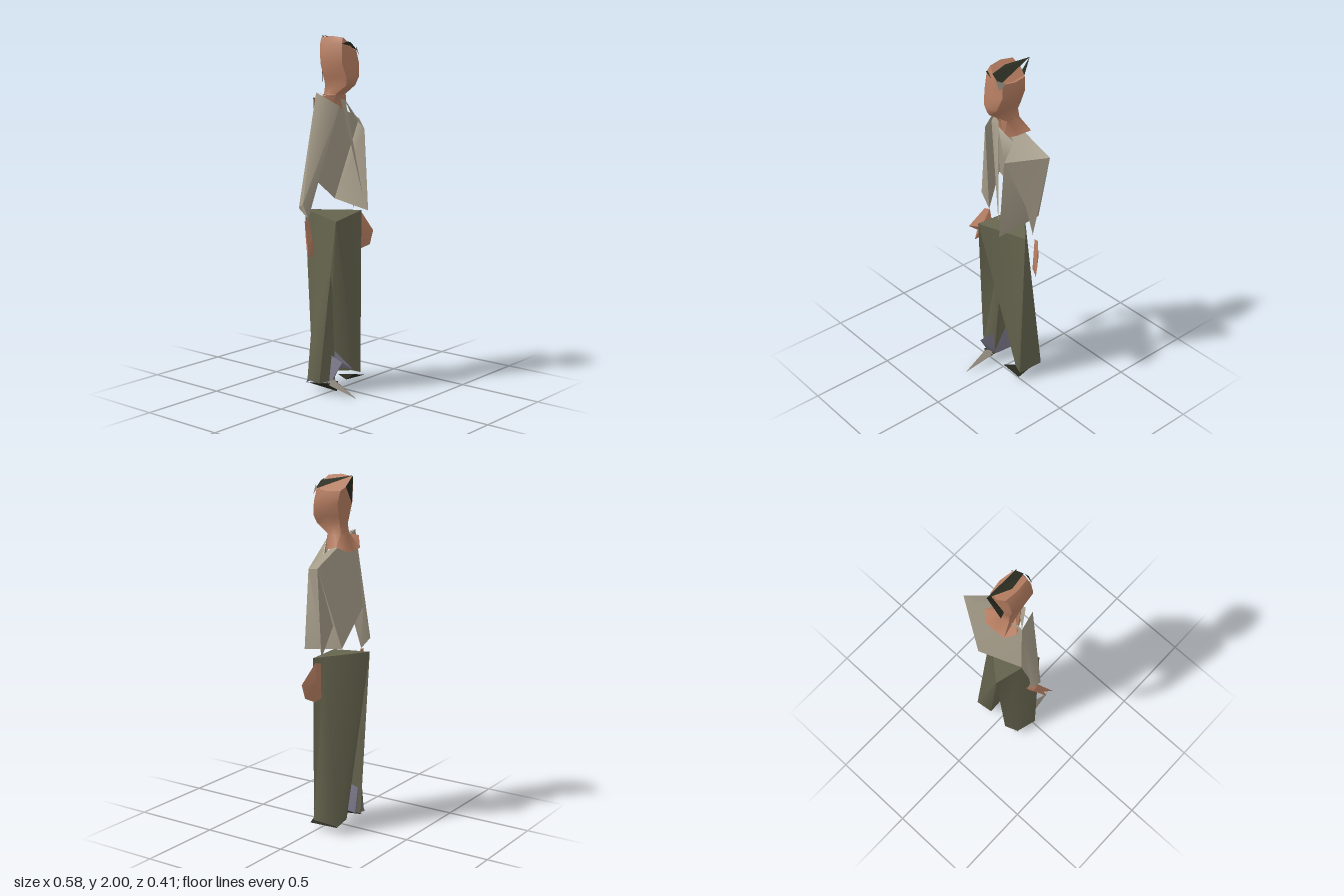
import * as THREE from 'three';
import { toCreasedNormals } from 'three/addons/utils/BufferGeometryUtils.js';

const mat = (name, color) => new THREE.MeshStandardMaterial({ name, color, side: THREE.DoubleSide });

function build(name, material, points, index, crease) {
  const geo = new THREE.BufferGeometry();
  geo.setAttribute('position', new THREE.Float32BufferAttribute(points.flat(), 3));
  geo.setIndex(index);
  const mesh = new THREE.Mesh(toCreasedNormals(geo, crease), material);
  mesh.name = name;
  return mesh;
}

// Mesh from named corners and triangles written as 'a b c'
function panels(name, material, corners, triangles, crease = 0.5) {
  const keys = Object.keys(corners);
  const index = triangles.flatMap(t => t.split(' ').map(k => keys.indexOf(k)));
  return build(name, material, Object.values(corners), index, crease);
}

// Skin over rings listed bottom to top, each anticlockwise from above
function loft(name, material, rings, crease) {
  const n = rings[0].length, index = [];
  for (let i = 0; i < rings.length - 1; i++) {
    for (let j = 0; j < n; j++) {
      const a = i * n + j, b = i * n + (j + 1) % n;
      index.push(a, b, b + n, a, b + n, a + n);
    }
  }
  return build(name, material, rings.flat(), index, crease);
}

// Faceted hand: an outline (anticlockwise from the front) swollen at its middle
function hand(name, material, outline, middle, thick) {
  const corners = { f: [middle[0], middle[1], middle[2] + thick], b: [middle[0], middle[1], middle[2] - thick] };
  const tris = [];
  outline.forEach((p, i) => {
    corners['p' + i] = p;
    const next = 'p' + (i + 1) % outline.length;
    tris.push(`f p${i} ${next}`, `b ${next} p${i}`);
  });
  return panels(name, material, corners, tris, 0.5);
}

export function createModel() {
  const group = new THREE.Group();
  group.name = 'standingMan';
  const skin = mat('skin', 0xb47c60);
  const cloth = mat('shirtCloth', 0xa59c89);
  const olive = mat('trouserCloth', 0x65644e);
  const dark = mat('hairBlack', 0x2a2c20);
  const sockMat = mat('sockGrey', 0x7b788a);
  const shoeMat = mat('shoeGrey', 0x857d72);

  // Head: squarish eight-sided sections [y, centre x, half width, front z, back z, sideways tilt]
  const sections = [
    [1.68, -0.005, 0.05, 0.015, -0.09, 0],
    [1.73, -0.005, 0.046, 0.093, -0.09, 0],
    [1.775, -0.002, 0.064, 0.105, -0.095, 0],
    [1.85, 0.002, 0.088, 0.085, -0.102, 0],
    [1.935, 0, 0.074, 0.077, -0.112, -0.3],
    [1.952, 0, 0.052, 0.068, -0.116, -0.85],
  ];
  const headRings = sections.map(([y, cx, w, zf, zb, tilt]) =>
    Array.from({ length: 8 }, (_, j) => {
      const t = (j / 8) * Math.PI * 2, k = j % 2 ? 1.17 : 1;
      const x = w * Math.cos(t) * k;
      return [cx + x, y + tilt * x, (zf + zb) / 2 - Math.sin(t) * k * (zf - zb) / 2];
    }));
  // Flared, uneven foot of the neck
  const neckFoot = [
    [0.11, 1.62, -0.1], [0.06, 1.59, -0.14], [0, 1.59, -0.14], [-0.065, 1.6, -0.14],
    [-0.115, 1.66, -0.1], [-0.06, 1.63, 0], [0.03, 1.58, 0.02], [0.08, 1.6, -0.03],
  ];
  group.add(loft('headAndNeck', skin, [neckFoot, ...headRings], 1.0));
  const crown = headRings.at(-1);
  group.add(build('crown', skin, crown, crown.slice(2).flatMap((_, j) => [0, j + 1, j + 2]), 0.5));

  // Hair: a swept crest and a point hanging down the back
  group.add(panels('hair', dark, {
    tip: [0.03, 2.0, -0.155], frontL: [0.055, 1.918, 0.073], frontR: [-0.002, 1.962, 0.073],
    mid: [-0.02, 1.978, -0.03], backTop: [0.04, 1.94, -0.116], backMid: [-0.036, 1.84, -0.106],
    nape: [-0.02, 1.74, -0.112],
  }, ['tip frontR frontL', 'tip mid frontR', 'tip backTop backMid', 'tip backMid nape']));
  group.add(panels('fringe', dark, {
    a: [-0.066, 1.955, 0.066], b: [0, 1.94, 0.083], c: [-0.03, 1.968, 0.078],
  }, ['a b c']));
  group.add(panels('foreheadTuft', shoeMat, {
    a: [0.035, 1.94, 0.083], b: [0.064, 1.89, 0.08], c: [0.076, 1.925, 0.045],
  }, ['a b c']));

  // Shirt body: a back, a left side and a loose strip down the open front
  const shoulderR = [-0.125, 1.69, -0.07], shoulderL = [0.272, 1.525, -0.09];
  const hemR = [-0.155, 1.25, -0.104];
  group.add(panels('shirtBody', cloth, {
    sR: shoulderR, sL: shoulderL, neck: [0, 1.645, 0.035], collar: [0.085, 1.57, 0.0],
    chest: [0.105, 1.485, 0.085], hemF: [0.1, 1.03, 0.117], hemR, hemL: [0.125, 1.07, -0.15],
    strip: [-0.05, 1.66, 0.04], stripEnd: [0.075, 1.11, 0.1],
  }, ['sR sL hemL', 'sR hemL hemR', 'sR strip neck', 'strip stripEnd neck', 'neck chest collar',
    'collar chest sL', 'sR collar sL', 'chest hemF hemL', 'chest hemL sL'], 1.0));

  // Left sleeve
  group.add(panels('leftSleeve', cloth, {
    sL: shoulderL, chest: [0.105, 1.485, 0.085], pit: [0.165, 1.2, -0.02],
    pitBack: [0.16, 1.2, -0.115], cuff: [0.185, 1.015, -0.055],
  }, ['chest pit sL', 'pit cuff sL', 'sL cuff pitBack', 'pit pitBack cuff'], 1.0));

  // Right sleeve
  group.add(panels('rightSleeve', cloth, {
    sR: shoulderR, front: [-0.08, 1.62, 0.06], hemR,
    c1: [-0.255, 1.09, -0.055], c2: [-0.2, 1.0, -0.065], c3: [-0.23, 1.06, -0.107],
  }, ['front c1 c2', 'front c2 hemR', 'sR c3 c1', 'sR c1 front', 'sR hemR c2', 'sR c2 c3'], 1.3));

  // Hands
  group.add(hand('leftHand', skin, [
    [0.235, 1.0, -0.05], [0.195, 0.99, -0.06], [0.187, 0.79, -0.055], [0.225, 0.775, -0.04],
    [0.27, 0.8, -0.005], [0.29, 0.88, 0.003],
  ], [0.235, 0.89, -0.037], 0.017));
  group.add(hand('rightHand', skin, [
    [-0.195, 1.0, -0.065], [-0.235, 0.99, -0.06], [-0.292, 0.87, 0.012], [-0.255, 0.85, -0.02],
    [-0.268, 0.78, -0.01], [-0.22, 0.82, -0.04], [-0.17, 0.77, -0.05], [-0.165, 0.84, -0.07],
    [-0.185, 0.91, -0.075],
  ], [-0.215, 0.89, -0.045], 0.025));

  // Trousers: two tapering legs sharing a three-cornered waist
  const waistBack = [-0.065, 1.025, -0.208], waistFront = [-0.13, 0.99, 0.075], waistLeft = [0.185, 1.01, 0];
  group.add(loft('leftTrouserLeg', olive, [
    [[0.12, 0.08, 0.005], [0.165, 0.06, 0.012], [0.167, 0.055, -0.152], [0.06, 0.065, -0.14]],
    [waistFront, waistLeft, [0.14, 1.013, -0.045], waistBack],
  ], 1.75));
  group.add(loft('rightTrouserLeg', olive, [
    [[-0.185, 0.07, 0], [-0.065, 0.07, 0.015], [-0.07, 0.06, -0.15], [-0.15, 0.065, -0.12]],
    [waistFront, [-0.035, 1.0, -0.05], waistBack, [-0.1, 1.007, -0.065]],
  ], 1.75));
  group.add(panels('waist', olive, { a: waistFront, b: waistLeft, c: waistBack }, ['a b c']));

  // Socks
  group.add(panels('rightSock', sockMat, {
    toe: [-0.1, 0.19, 0.095], top: [-0.066, 0.23, -0.08], low: [-0.115, 0.06, 0.02],
    inner: [-0.06, 0.07, 0.0], back: [-0.056, 0.22, -0.14], backLow: [-0.058, 0.06, -0.12],
    heel: [-0.15, 0.045, -0.128],
  }, ['toe low top', 'toe top inner', 'toe inner low', 'inner top back', 'inner back backLow',
    'low inner heel', 'backLow back heel']));
  group.add(panels('leftSock', sockMat, {
    toe: [-0.02, 0.19, -0.075], top: [0.04, 0.205, -0.09], low: [0.115, 0.085, 0.0],
    inner: [0.06, 0.1, -0.05],
  }, ['toe low top', 'toe inner low', 'toe top inner']));

  // Shoes: dark soles, with a long pointed grey toe on the right
  group.add(panels('rightShoeToe', shoeMat, {
    tip: [-0.105, 0.002, 0.205], out: [-0.14, 0.06, 0.02], inn: [-0.068, 0.065, 0.02], top: [-0.1, 0.085, 0.02],
  }, ['tip top out', 'tip inn top', 'tip out inn']));
  group.add(panels('rightShoeHeel', dark, {
    out: [-0.148, 0.065, 0.025], inn: [-0.064, 0.065, 0.035], sole: [-0.105, 0.02, 0.06], heel: [-0.12, 0.035, -0.13],
  }, ['out sole inn', 'out heel sole', 'sole heel inn', 'out inn heel']));
  group.add(panels('leftShoe', dark, {
    toe: [0.06, 0.08, 0.05], out: [0.175, 0.045, 0.03], sole: [0.075, 0.03, -0.02], heel: [0.13, 0.03, -0.13],
  }, ['toe sole out', 'toe heel sole', 'sole heel out', 'toe out heel']));

  return group;
}
